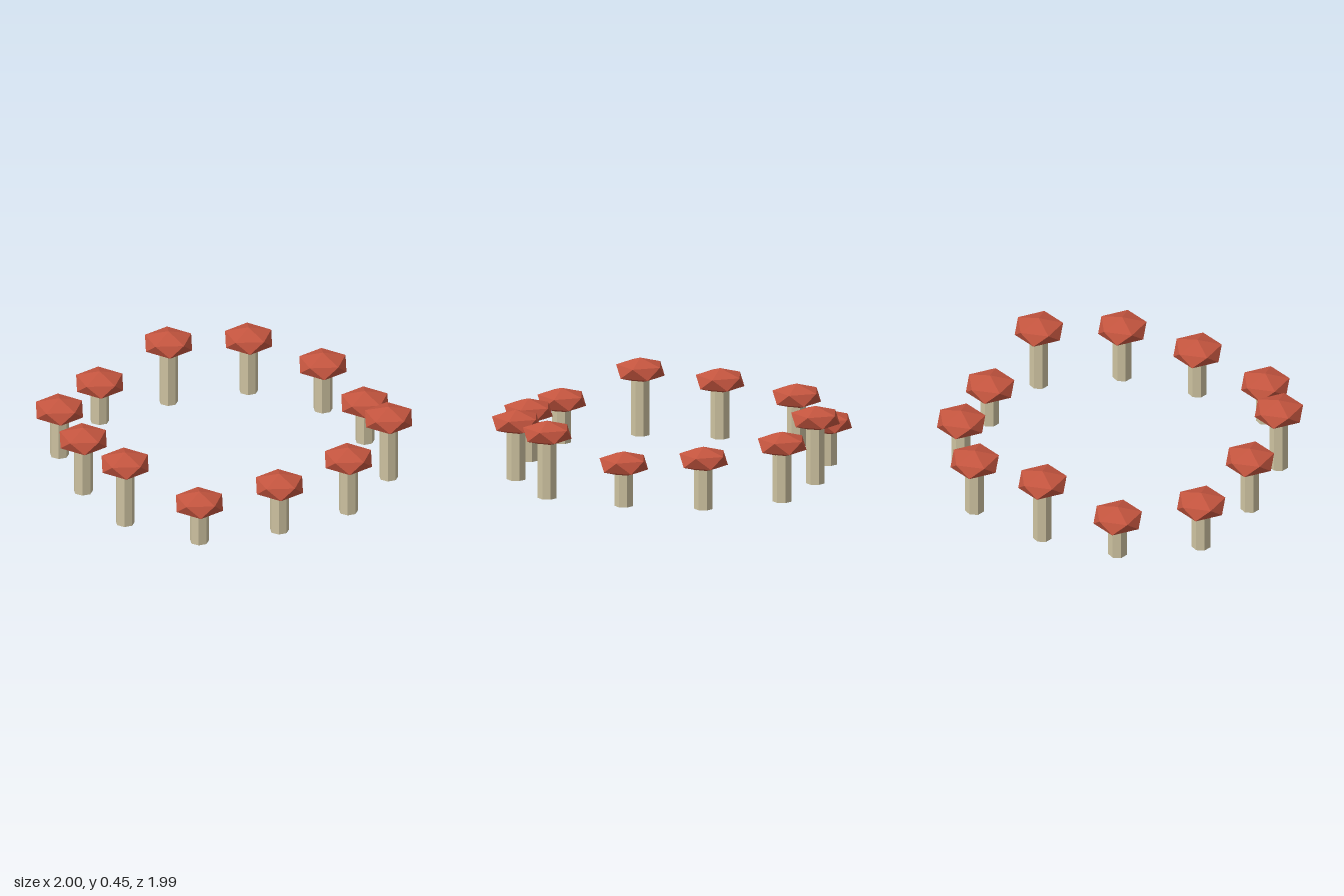
import * as THREE from 'three';

export function createModel() {
  const ring = new THREE.Group();
  ring.name = 'mushroomRing';

  const capMaterial = new THREE.MeshStandardMaterial({ color: 0xc4553f, flatShading: true });
  const stemMaterial = new THREE.MeshStandardMaterial({ color: 0xcdc2a0, flatShading: true });

  // Cap: icosahedron turned to stand on a corner, then flattened
  const capGeometry = new THREE.IcosahedronGeometry(0.155, 0);
  capGeometry.rotateZ(-Math.atan(2 / (1 + Math.sqrt(5))));
  capGeometry.scale(1, 0.47, 1);
  capGeometry.computeVertexNormals();

  // Stem: seven-sided prism of unit height with a flat side to the front
  const stemGeometry = new THREE.CylinderGeometry(0.055, 0.055, 1, 7);
  stemGeometry.rotateY(Math.PI);
  stemGeometry.translate(0, 0.5, 0);

  // Distance from the centre repeats every three, height every four
  const count = 12;
  for (let i = 0; i < count; i++) {
    const angle = (i / count) * Math.PI * 2;
    const radius = 0.862 + 0.043 * (i % 3);
    const height = 0.244 + 0.0447 * (i % 4);

    const mushroom = new THREE.Group();
    mushroom.name = `mushroom${i + 1}`;
    mushroom.position.set(Math.cos(angle) * radius, 0, -Math.sin(angle) * radius);

    const stem = new THREE.Mesh(stemGeometry, stemMaterial);
    stem.name = 'stem';
    stem.scale.y = height;

    const cap = new THREE.Mesh(capGeometry, capMaterial);
    cap.name = 'cap';
    cap.position.y = height;

    mushroom.add(stem, cap);
    ring.add(mushroom);
  }
  return ring;
}
